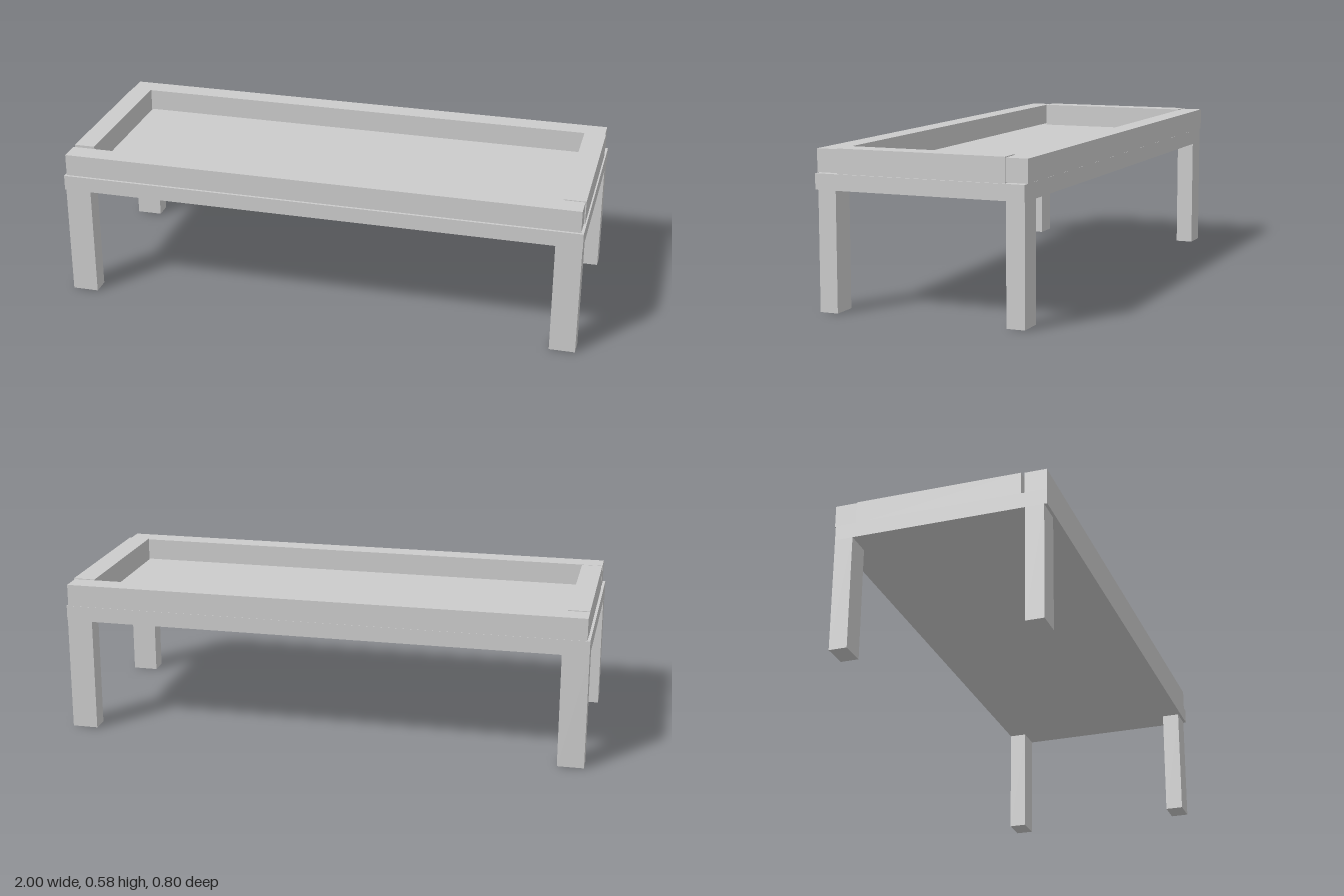
import * as THREE from 'three';

export function createModel() {
  const table = new THREE.Group();
  table.name = 'trayTable';
  const material = new THREE.MeshStandardMaterial({ color: 0xcccccc, flatShading: true });

  // Board given by its [min, max] extent on each axis
  function board(name, [x0, x1], [y0, y1], [z0, z1]) {
    const mesh = new THREE.Mesh(new THREE.BoxGeometry(x1 - x0, y1 - y0, z1 - z0), material);
    mesh.position.set((x0 + x1) / 2, (y0 + y1) / 2, (z0 + z1) / 2);
    mesh.name = name;
    table.add(mesh);
  }

  // Table top slab
  board('tableTop', [-1, 1], [0.437, 0.495], [-0.393, 0.402]);

  // Four square-cut legs at the corners
  for (const [side, x] of [['Right', [-1, -0.9]], ['Left', [0.9, 0.998]]]) {
    board('front' + side + 'Leg', x, [0, 0.437], [0.322, 0.391]);
    board('back' + side + 'Leg', x, [0.002, 0.437], [-0.393, -0.325]);
  }

  // Long rails, resting a hair above the slab
  board('frontRail', [-0.99, 0.99], [0.498, 0.582], [0.317, 0.398]);
  board('backRail', [-0.99, 0.99], [0.498, 0.582], [-0.401, -0.319]);

  // End rails fitted between the long ones; the right one is cut slightly short
  board('leftEndRail', [0.91, 0.994], [0.495, 0.585], [-0.319, 0.317]);
  board('rightEndRail', [-0.99, -0.91], [0.495, 0.585], [-0.319, 0.303]);

  return table;
}
